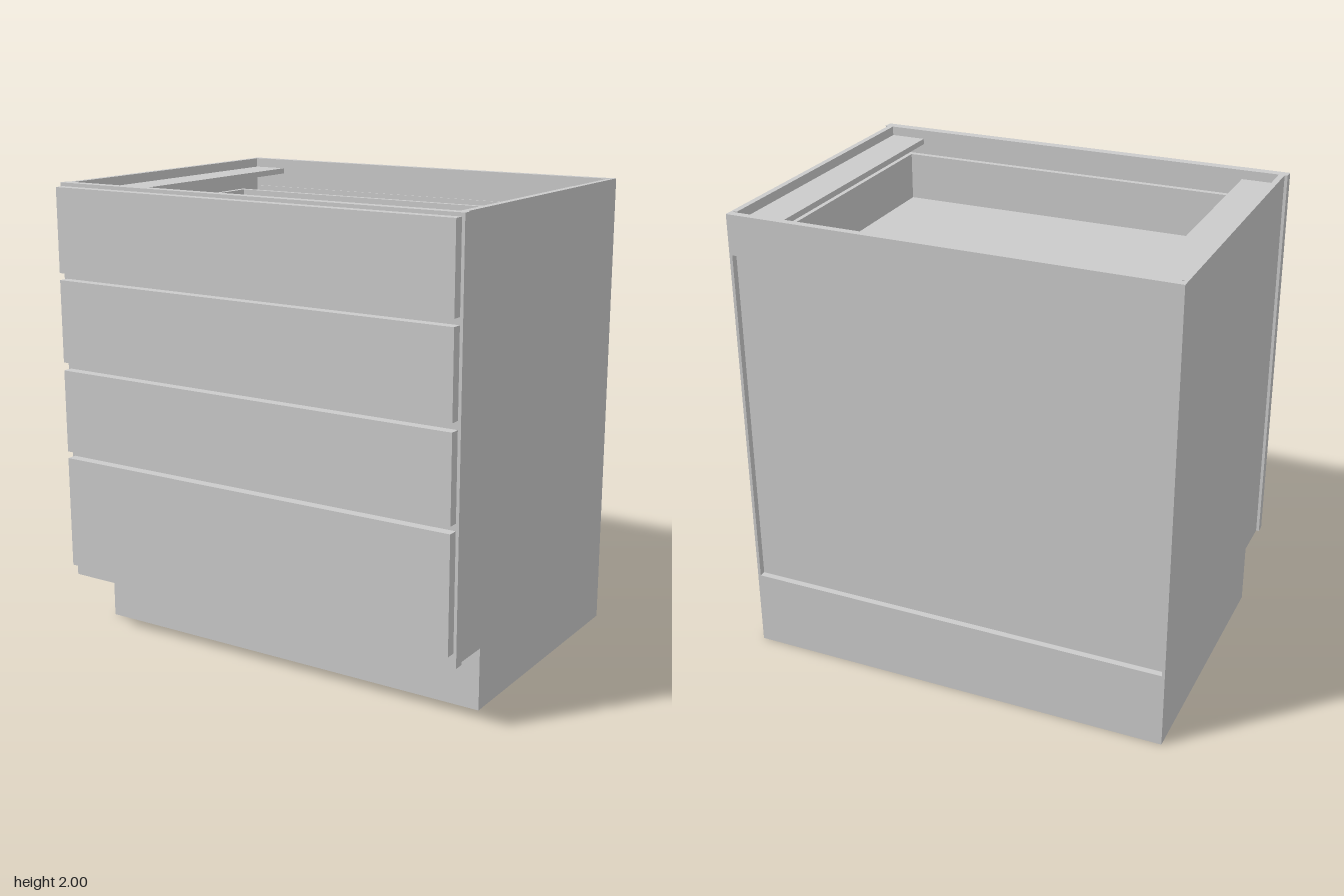
import * as THREE from 'three';

const material = new THREE.MeshStandardMaterial({ color: 0xcccccc });

// Box given by its extents along each axis
function box(parent, name, [x0, x1], [y0, y1], [z0, z1]) {
  const mesh = new THREE.Mesh(new THREE.BoxGeometry(x1 - x0, y1 - y0, z1 - z0), material);
  mesh.position.set((x0 + x1) / 2, (y0 + y1) / 2, (z0 + z1) / 2);
  mesh.name = name;
  parent.add(mesh);
  return mesh;
}

const polygon = (points, Type = THREE.Shape) => new Type(points.map(([x, y]) => new THREE.Vector2(x, y)));
const rect = (x0, x1, y0, y1, Type) => polygon([[x0, y0], [x1, y0], [x1, y1], [x0, y1]], Type);

function extrude(parent, name, shape, depth) {
  const mesh = new THREE.Mesh(new THREE.ExtrudeGeometry(shape, { depth, bevelEnabled: false }), material);
  mesh.name = name;
  parent.add(mesh);
  return mesh;
}

// Open-topped drawer with an overlay front
function createDrawer(y0, y1) {
  const drawer = new THREE.Group();
  drawer.name = 'drawer';
  const bottom = y0 + 0.02, top = y1 - 0.11, floor = bottom + 0.02;
  box(drawer, 'drawerFront', [-0.94, 0.94], [y0, y1], [0.677, 0.72]);
  box(drawer, 'drawerFloor', [-0.83, 0.83], [bottom, floor], [-0.45, 0.65]);
  box(drawer, 'drawerBack', [-0.83, 0.83], [bottom, top], [-0.475, -0.45]);
  box(drawer, 'drawerInnerFront', [-0.83, 0.83], [bottom, top], [0.65, 0.676]);
  for (const s of [-1, 1]) {
    const xs = s > 0 ? [0.83, 0.855] : [-0.855, -0.83];
    box(drawer, 'drawerSide', xs, [bottom, top], [-0.475, 0.676]);
  }
  return drawer;
}

export function createModel() {
  const cabinet = new THREE.Group();
  cabinet.name = 'drawerCabinet';

  // Side panels with a toe notch, a thin lip continuing past the back panel
  const sideOutline = (back) => polygon([
    [-0.455, 0], [-back, 0], [-back, 2], [-0.635, 2], [-0.635, 0.265], [-0.455, 0.265],
  ]);
  for (const s of [-1, 1]) {
    const side = new THREE.Group();
    side.name = s > 0 ? 'leftSide' : 'rightSide';
    for (const [name, back, inner, outer] of [
      ['sidePanel', -0.68, 0.915, 0.927], ['sideLip', -0.72, 0.927, 0.94],
    ]) {
      const mesh = extrude(side, name, sideOutline(back), outer - inner);
      mesh.rotation.y = Math.PI / 2;
      mesh.position.x = s > 0 ? inner : -outer;
    }
    cabinet.add(side);

    // Flat strip along the top of each side
    box(cabinet, 'topStrip', s > 0 ? [0.757, 0.915] : [-0.915, -0.757], [1.935, 1.96], [-0.68, 0.635]);
  }

  // Back: recessed panel between two flush rails
  box(cabinet, 'backPanel', [-0.927, 0.927], [0.3, 1.87], [-0.692, -0.682]);
  box(cabinet, 'backTopRail', [-0.927, 0.927], [1.83, 2], [-0.72, -0.688]);
  box(cabinet, 'backBottomRail', [-0.927, 0.927], [0, 0.335], [-0.72, -0.688]);

  // Cabinet floor and toe board
  box(cabinet, 'cabinetFloor', [-0.915, 0.915], [0.29, 0.318], [-0.682, 0.635]);
  box(cabinet, 'toeBoard', [-0.915, 0.915], [0, 0.29], [0.427, 0.455]);

  // Drawers and the face frame openings behind their fronts
  const frame = rect(-0.953, 0.953, 0.265, 2);
  const fronts = [[0.325, 0.815], [0.845, 1.205], [1.24, 1.595], [1.625, 1.985]];
  for (const [y0, y1] of fronts) {
    frame.holes.push(rect(-0.865, 0.865, y0 + 0.015, y1 - 0.06, THREE.Path));
    cabinet.add(createDrawer(y0, y1));
  }
  extrude(cabinet, 'faceFrame', frame, 0.042).position.z = 0.635;

  return cabinet;
}
